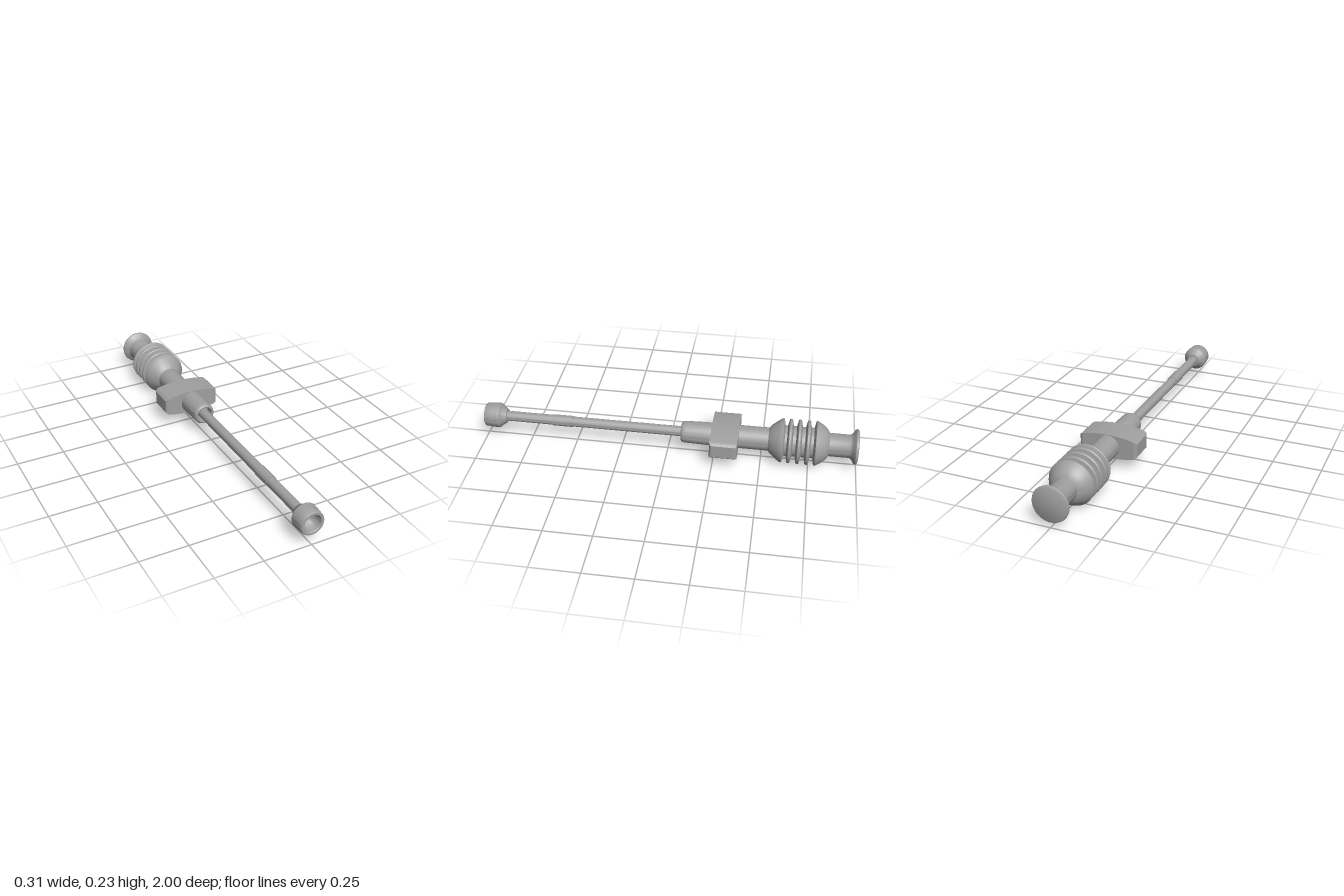
import * as THREE from 'three';
import { toCreasedNormals } from 'three/addons/utils/BufferGeometryUtils.js';

const AXIS_Y = 0.118;

export function createModel() {
  const group = new THREE.Group();
  const grey = new THREE.MeshStandardMaterial({ color: 0xa0a0a0 });
  grey.name = 'plain grey';

  const add = (name, geometry) => {
    const mesh = new THREE.Mesh(geometry, grey);
    mesh.name = name;
    mesh.position.y = AXIS_Y;
    group.add(mesh);
  };

  // Turned part along z; the profile lists [radius, z] from back to front
  const turned = (name, profile) => {
    const points = profile.map(([r, z]) => new THREE.Vector2(r, z));
    const geometry = new THREE.LatheGeometry(points, 48).rotateX(Math.PI / 2);
    add(name, toCreasedNormals(geometry, 0.55));
  };

  // End button with a flared neck
  turned('endButton', [
    [0, -1], [0.086, -1], [0.091, -0.997], [0.093, -0.992], [0.092, -0.986],
    [0.086, -0.98], [0.073, -0.972], [0.065, -0.965], [0.061, -0.955], [0.061, -0.83],
  ]);

  // Bellows grip: rounded back shoulder, three thin ribs, front cone
  const bellows = [
    [0.061, -0.85], [0.075, -0.843], [0.089, -0.829], [0.102, -0.812],
    [0.112, -0.795], [0.117, -0.785], [0.116, -0.779], [0.113, -0.777], [0.08, -0.769],
  ];
  for (const z of [-0.74, -0.693, -0.646]) {
    bellows.push([0.08, z - 0.015], [0.113, z - 0.008], [0.117, z - 0.004],
      [0.117, z + 0.004], [0.113, z + 0.008], [0.08, z + 0.015]);
  }
  bellows.push([0.08, -0.619], [0.113, -0.611], [0.117, -0.607], [0.115, -0.6],
    [0.104, -0.583], [0.088, -0.562], [0.073, -0.545], [0.061, -0.535]);
  turned('bellowsGrip', bellows);

  // Handle tube with a rounded, hollow mouth
  turned('handleSleeve', [
    [0.061, -0.56], [0.061, -0.23], [0.058, -0.1], [0.057, -0.085], [0.053, -0.077],
    [0.047, -0.073], [0.042, -0.075], [0.04, -0.08], [0.04, -0.12], [0.02, -0.12],
  ]);

  // Finger wings: arched top and bottom, rounded upright edges
  const halfZ = 0.0725, edge = 0.015;
  const wings = new THREE.BoxGeometry(2, 2, 2 * halfZ, 40, 1, 30);
  const p = wings.attributes.position;
  for (let i = 0; i < p.count; i++) {
    const z = p.getZ(i);
    const t = Math.max(0, (Math.abs(z) - halfZ + edge) / edge);
    const x = p.getX(i) * (0.14 + edge * Math.sqrt(Math.max(0, 1 - t * t)));
    const drop = Math.max(0, (Math.abs(x) - 0.137) / 0.018);
    const h = 0.064 - 0.02 * (x / 0.155) ** 2 - 0.009 * drop * drop;
    p.setXYZ(i, x, p.getY(i) * h, z);
  }
  wings.computeVertexNormals();
  wings.translate(0, 0, -0.3075);
  add('fingerWings', wings);

  // Slim rod and its collar
  turned('rod', [[0.027, -0.13], [0.027, 0.9]]);
  turned('rodCollar', [[0.026, 0.52], [0.03, 0.52], [0.03, 0.628], [0.026, 0.628]]);

  // Hollow cup at the tip
  turned('tipCup', [
    [0.026, 0.884], [0.037, 0.884], [0.039, 0.888], [0.06, 0.917], [0.064, 0.919],
    [0.067, 0.924], [0.066, 0.96], [0.063, 0.995], [0.06, 1], [0.049, 1], [0.046, 0.997],
    [0.042, 0.975], [0.032, 0.952], [0.018, 0.938], [0, 0.93],
  ]);

  return group;
}
